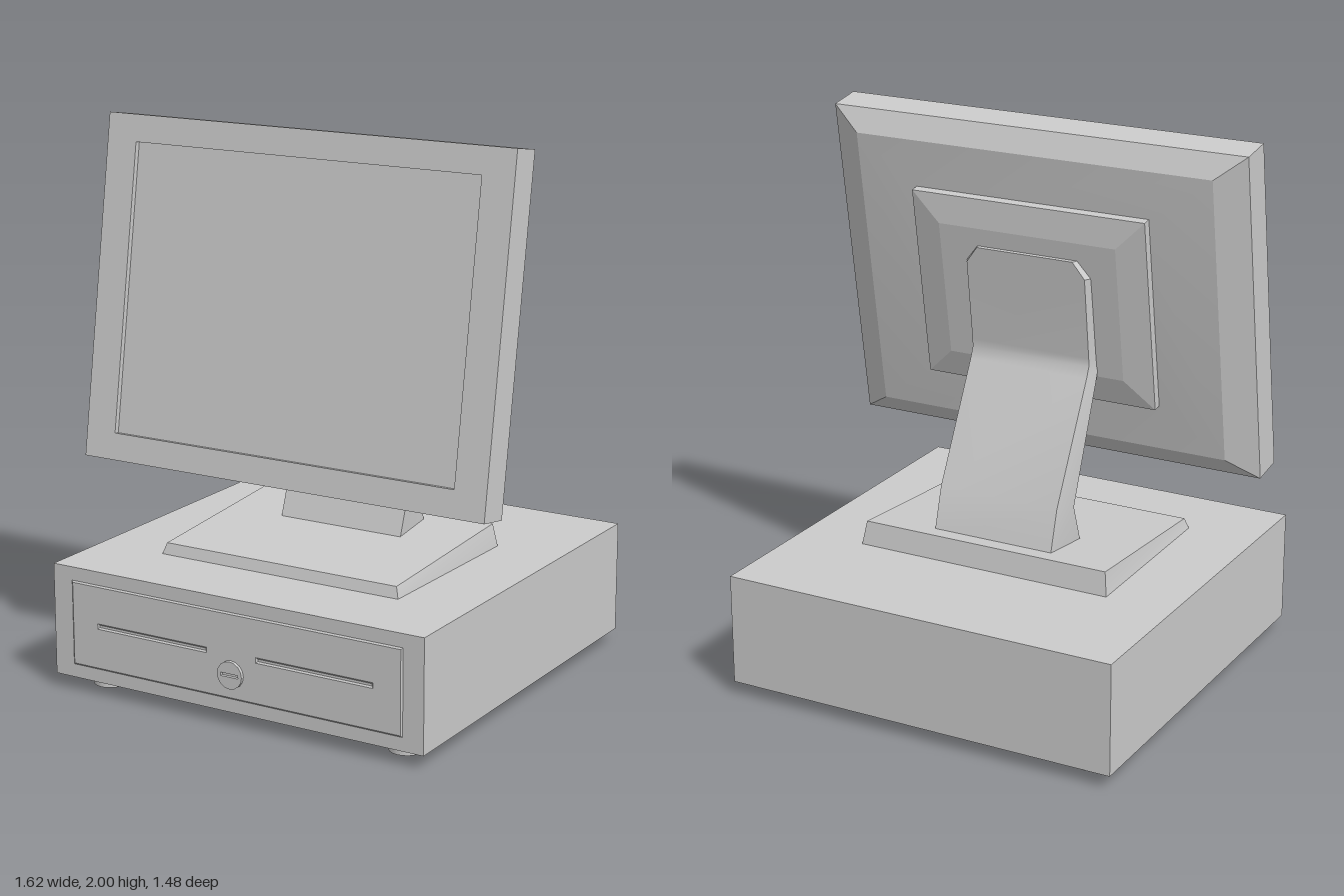
import * as THREE from 'three';
import { toCreasedNormals } from 'three/addons/utils/BufferGeometryUtils.js';

const material = new THREE.MeshStandardMaterial({ color: 0xcccccc });

function add(parent, name, geometry, x = 0, y = 0, z = 0) {
  const mesh = new THREE.Mesh(geometry, material);
  mesh.name = name;
  mesh.position.set(x, y, z);
  parent.add(mesh);
  return mesh;
}

// Closed skin over cross-sections; each ring turns counter-clockwise about the loft direction.
function loft(rings, crease = 0.3) {
  const n = rings[0].length;
  const last = (rings.length - 1) * n;
  const index = [];
  for (let r = 0; r < rings.length - 1; r++) {
    for (let j = 0; j < n; j++) {
      const a = r * n + j, b = r * n + (j + 1) % n;
      index.push(a, b, b + n, a, b + n, a + n);
    }
  }
  for (let j = 1; j < n - 1; j++) {
    index.push(0, j + 1, j, last, last + j, last + j + 1);
  }
  const geometry = new THREE.BufferGeometry();
  geometry.setAttribute('position', new THREE.Float32BufferAttribute(rings.flat(2), 3));
  geometry.setIndex(index);
  return toCreasedNormals(geometry, crease);
}

// Upright rectangle for lofts running towards -z
const rectRing = (w, h, z, cy = 0) =>
  [[-w, cy - h, z], [-w, cy + h, z], [w, cy + h, z], [w, cy - h, z]];

// Horizontal section for lofts running upwards
const section = (wf, zf, yf, wb, zb, yb) =>
  [[-wb, yb, zb], [-wf, yf, zf], [wf, yf, zf], [wb, yb, zb]];

function rectPath(path, w, h, cx = 0, cy = 0) {
  path.moveTo(cx - w, cy - h);
  path.lineTo(cx + w, cy - h);
  path.lineTo(cx + w, cy + h);
  path.lineTo(cx - w, cy + h);
  path.closePath();
  return path;
}

function buildDrawer() {
  const drawer = new THREE.Group();
  drawer.name = 'cashDrawer';
  add(drawer, 'drawerBody', new THREE.BoxGeometry(1.5, 0.41, 1.46), 0, 0.255, -0.01);

  // Raised front panel with two slots
  const panel = rectPath(new THREE.Shape(), 0.665, 0.15);
  for (const s of [-1, 1]) {
    panel.holes.push(rectPath(new THREE.Path(), 0.23, 0.01, s * 0.33, 0.005));
  }
  add(drawer, 'drawerFront', new THREE.ExtrudeGeometry(panel, {
    depth: 0.004, bevelThickness: 0.006, bevelSize: 0.007, bevelSegments: 1,
  }), 0, 0.255, 0.715);

  // Lock with key slit
  const lock = new THREE.Shape().absarc(0, 0, 0.05, 0, Math.PI * 2);
  lock.holes.push(rectPath(new THREE.Path(), 0.035, 0.006));
  add(drawer, 'lock', new THREE.ExtrudeGeometry(lock, {
    depth: 0.02, bevelEnabled: false, curveSegments: 8,
  }), 0, 0.19, 0.717);

  for (const x of [-0.61, 0.61]) {
    for (const z of [-0.595, 0.585]) {
      add(drawer, 'foot', new THREE.CylinderGeometry(0.0625, 0.0625, 0.05, 20), x, 0.025, z);
    }
  }
  return drawer;
}

function buildStand() {
  const stand = new THREE.Group();
  stand.name = 'stand';
  // Sloping foot plate
  add(stand, 'standBase', loft([
    section(0.485, 0.432, 0.46, 0.495, -0.268, 0.46),
    section(0.472, 0.42, 0.5, 0.482, -0.252, 0.546),
  ]));
  // Bent neck with clipped top corners
  add(stand, 'neck', loft([
    section(0.25, 0.015, 0.51, 0.235, -0.195, 0.51),
    section(0.25, -0.04, 0.667, 0.235, -0.142, 0.69),
    section(0.25, 0.127, 1.095, 0.235, 0.08, 1.11),
    section(0.25, 0.14, 1.135, 0.235, 0.097, 1.15),
    section(0.25, 0.136, 1.17, 0.235, 0.095, 1.18),
    section(0.25, 0.084, 1.48, 0.235, 0.056, 1.48),
    section(0.2, 0.073, 1.54, 0.19, 0.049, 1.54),
  ], 0.6));
  return stand;
}

function buildMonitor() {
  const monitor = new THREE.Group();
  monitor.name = 'monitor';
  // Bezel around the recessed screen
  const bezel = rectPath(new THREE.Shape(), 0.812, 0.616);
  bezel.holes.push(rectPath(new THREE.Path(), 0.69, 0.519));
  add(monitor, 'bezel', new THREE.ExtrudeGeometry(bezel, {
    depth: 0.02, bevelEnabled: false,
  }), 0, 0, -0.02);
  // Housing: screen face, sides, bevelled back
  add(monitor, 'housing', loft([
    rectRing(0.812, 0.616, -0.02),
    rectRing(0.812, 0.616, -0.126),
    rectRing(0.7, 0.537, -0.177),
    rectRing(0.44, 0.34, -0.192),
  ], 0.2));
  // Mounting plate
  add(monitor, 'mountPlate', loft([
    rectRing(0.46, 0.361, -0.19, 0.005),
    rectRing(0.46, 0.361, -0.224, 0.005),
    rectRing(0.35, 0.255, -0.243, 0.005),
  ], 0.1));
  monitor.position.set(0, 1.387, 0.34);
  monitor.rotation.x = -0.158;
  return monitor;
}

export function createModel() {
  const model = new THREE.Group();
  model.name = 'pointOfSaleTerminal';
  model.add(buildDrawer(), buildStand(), buildMonitor());
  return model;
}
